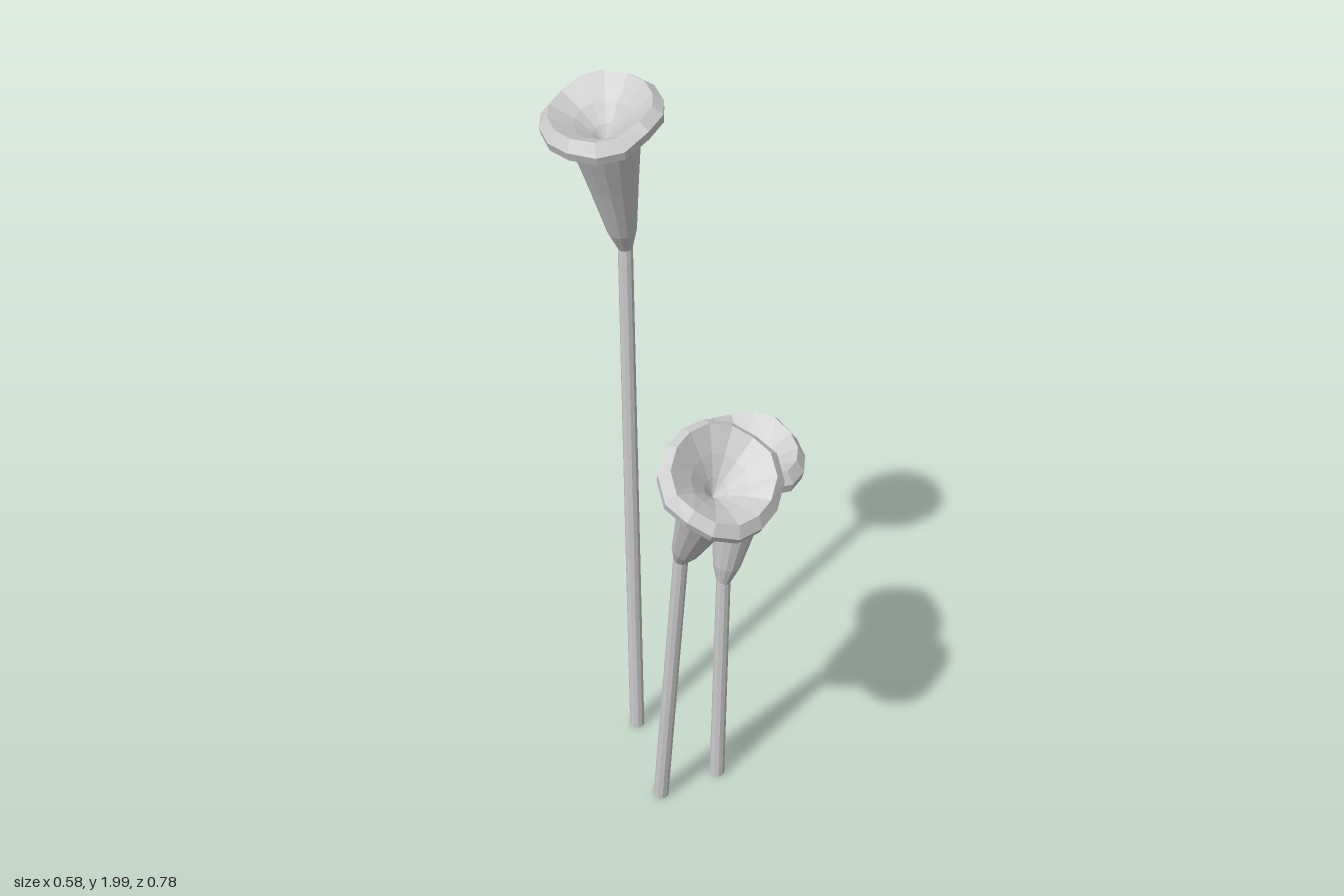
import * as THREE from 'three';

const material = new THREE.MeshStandardMaterial({ color: 0xcccccc, flatShading: true });
const UP = new THREE.Vector3(0, 1, 0);

// Closed trumpet profile: outside from neck to lip, then inside down to the throat
const PROFILE = [
  [0, 0], [0.019, 0], [0.037, 0.055], [0.062, 0.2], [0.087, 0.33], [0.106, 0.362],
  [0.148, 0.374], [0.15, 0.395], [0.126, 0.418], [0.07, 0.38], [0.03, 0.345], [0, 0.31],
].map(([r, h]) => new THREE.Vector2(r, h));

// Straight rod from one point to another
function stem(from, to) {
  const dir = to.clone().sub(from);
  const mesh = new THREE.Mesh(new THREE.CylinderGeometry(0.019, 0.021, dir.length(), 10), material);
  mesh.position.copy(from).addScaledVector(dir, 0.5);
  mesh.quaternion.setFromUnitVectors(UP, dir.normalize());
  mesh.name = 'stem';
  return mesh;
}

// Trumpet bloom pointing from neck to mouth, with a leaning, wavy lip
function bloom(neck, mouth, lean, phase) {
  const geometry = new THREE.LatheGeometry(PROFILE, 14);
  const p = geometry.attributes.position;
  for (let i = 0; i < p.count; i++) {
    const x = p.getX(i), z = p.getZ(i);
    const r = Math.hypot(x, z), a = Math.atan2(x, z);
    const flare = Math.min(1, p.getY(i) / 0.36) ** 3;
    const wave = 0.009 * Math.sin(3 * a + phase) + 0.005 * Math.sin(5 * a + 2 * phase);
    const widen = 1 + 0.02 * flare * Math.sin(4 * a + phase);
    p.setXYZ(i, x * widen,
      p.getY(i) + flare * (lean[0] * x + lean[1] * z + wave * (r / 0.15) ** 2),
      z * widen);
  }
  geometry.computeVertexNormals();
  const mesh = new THREE.Mesh(geometry, material);
  mesh.position.copy(neck);
  mesh.quaternion.setFromUnitVectors(UP, mouth.clone().sub(neck).normalize());
  mesh.name = 'bloom';
  return mesh;
}

export function createModel() {
  const model = new THREE.Group();
  model.name = 'trumpetFlowers';
  const flowers = [
    { name: 'tallFlower', foot: [0.095, 0, -0.275], neck: [0.083, 1.54, -0.275],
      mouth: [-0.02, 1.93, -0.243], lean: [0.07, 0], phase: 0.6 },
    { name: 'leftFlower', foot: [0.1, 0, 0.037], neck: [0.092, 0.685, 0.057],
      mouth: [0.14, 1.08, 0.092], lean: [0.12, -0.12], phase: 2.2 },
    { name: 'rightFlower', foot: [-0.072, 0, -0.018], neck: [-0.09, 0.86, 0.075],
      mouth: [-0.148, 1.21, 0.262], lean: [0.08, -0.13], phase: 4 },
  ];
  for (const f of flowers) {
    const [foot, neck, mouth] = [f.foot, f.neck, f.mouth].map((v) => new THREE.Vector3(...v));
    const flower = new THREE.Group();
    flower.name = f.name;
    flower.add(stem(foot, neck), bloom(neck, mouth, f.lean, f.phase));
    model.add(flower);
  }
  return model;
}
